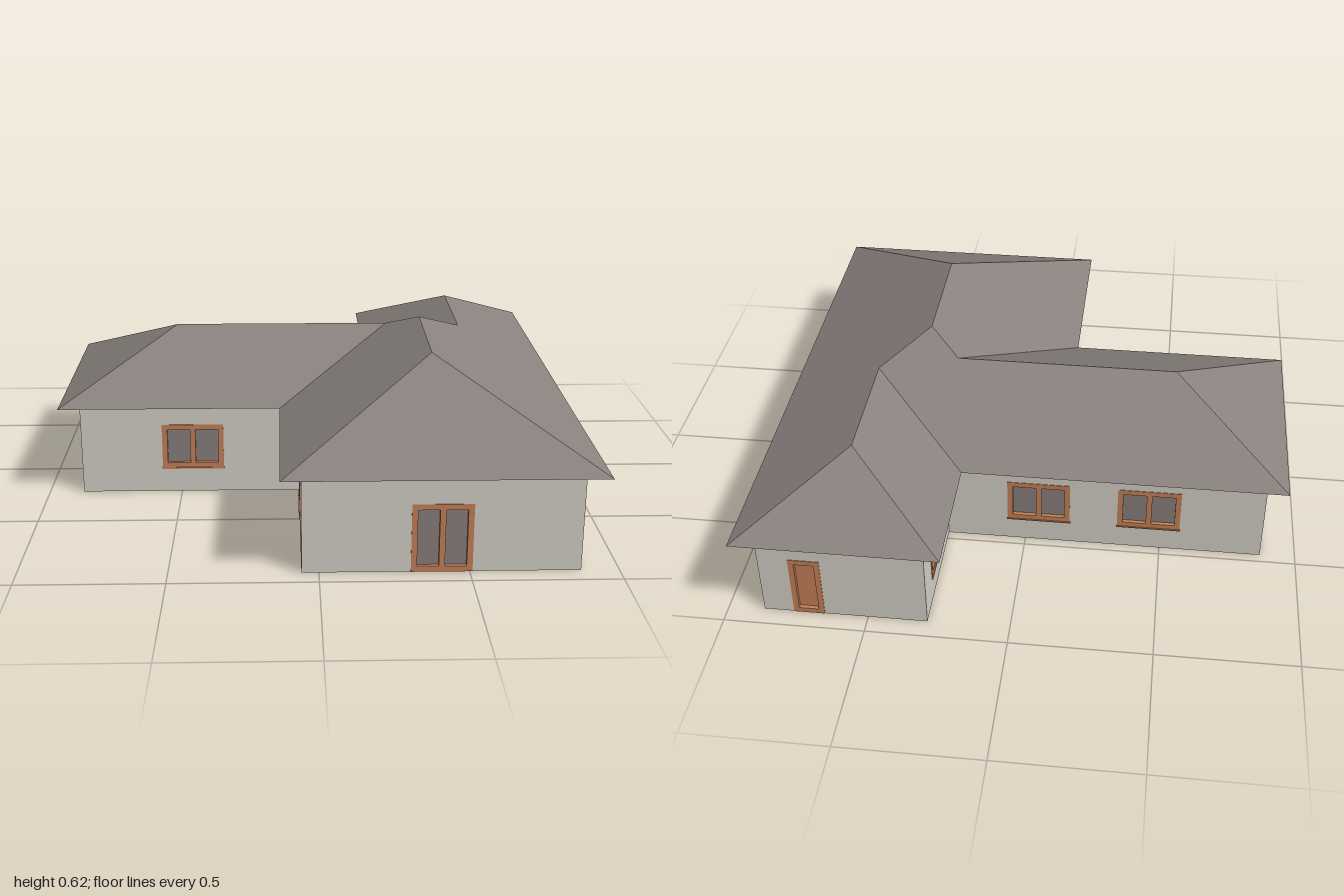
import * as THREE from 'three';

const EAVE = 0.354, SLOPE = 0.49, OVERHANG = 0.07, WALL = 0.02;

const material = (name, color) => Object.assign(new THREE.MeshStandardMaterial({ color }), { name });

// Plan points [x, z]: eave corners in lower case, ridge points in upper case
const P = {
  a: [-0.942, 0.30], b: [-0.942, -0.535], c: [0.22, -0.535], d: [0.22, -1],
  e: [0.942, -1], f: [0.942, 1], g: [-0.128, 1], h: [-0.128, 0.30],
  R: [-0.5245, -0.1175], V: [0.2895, -0.1175], M: [0.407, 0], Q: [0.407, 0.465],
  S: [0.581, -0.174], T: [0.581, -0.639],
};

// Each roof slope starts with the two ends of its eave
const SLOPES = {
  westHip: 'abR', northSlope: 'bcSMVR', backWingWestSlope: 'cdTS', backHip: 'deT',
  eastSlope: 'efQMST', frontHip: 'fgQ', frontWingWestSlope: 'ghVMQ', southSlope: 'haRV',
};

// Walls in eave order, each with [opening kind, offset from the wall's middle]
const WALLS = [
  ['westWall', [['window', 0]]],
  ['northWall', [['window', -0.241], ['window', 0.164]]],
  ['backWingWestWall', [['window', 0]]],
  ['backWall', [['backDoor', -0.129]]],
  ['eastWall', [['window', -0.29], ['window', 0.315]]],
  ['frontWall', [['frontDoor', 0]]],
  ['frontWingWestWall', [['window', 0]]],
  ['southWall', [['window', 0.01]]],
];

const OPENINGS = {
  window: { width: 0.23, bottom: 0.095, top: 0.267, panel: 'glass', mullion: true, sill: true },
  frontDoor: { width: 0.205, bottom: 0, top: 0.242, panel: 'glass', mullion: true },
  backDoor: { width: 0.11, bottom: 0, top: 0.245, panel: 'wood' },
};

const planShape = (points, sign) =>
  new THREE.Shape(points.map(([x, z]) => new THREE.Vector2(x, sign * z)));

const rect = (Type, x0, y0, x1, y1) => new Type([
  new THREE.Vector2(x0, y0), new THREE.Vector2(x1, y0),
  new THREE.Vector2(x1, y1), new THREE.Vector2(x0, y1),
]);

// A flat plan polygon facing down at a height
const underside = (points, y) =>
  new THREE.ShapeGeometry(planShape(points, 1)).rotateX(Math.PI / 2).translate(0, y, 0);

// A flat plan polygon lifted by its distance from the eave line
function slopeGeometry(keys) {
  const pts = [...keys].map((k) => P[k]);
  const geo = new THREE.ShapeGeometry(planShape(pts, -1)).rotateX(-Math.PI / 2);
  const [[x0, z0], [x1, z1]] = pts;
  const len = Math.hypot(x1 - x0, z1 - z0);
  const pos = geo.attributes.position;
  for (let i = 0; i < pos.count; i++) {
    const cross = (x1 - x0) * (pos.getZ(i) - z0) - (z1 - z0) * (pos.getX(i) - x0);
    pos.setY(i, EAVE + SLOPE * Math.abs(cross) / len);
  }
  geo.computeVertexNormals();
  return geo;
}

export function createModel() {
  const mats = {
    wall: material('wall plaster', 0xd6d3ca),
    roof: material('roof tile', 0x8a827f),
    soffit: material('soffit board', 0xb4a472),
    wood: material('frame wood', 0xc8835a),
    glass: material('window glass', 0x8a817e),
  };
  const house = new THREE.Group();
  house.name = 'house';

  const add = (parent, name, geo, mat) => {
    const mesh = new THREE.Mesh(geo, mat);
    mesh.name = name;
    parent.add(mesh);
    return mesh;
  };

  // Framed window or door set into a wall, its panel recessed
  function opening(wall, kind, u) {
    const { width, bottom, top, panel, mullion, sill } = OPENINGS[kind];
    const group = new THREE.Group();
    group.name = kind;
    group.position.x = u;
    wall.add(group);
    const bar = 0.02, proud = 0.002, h = top - bottom, mid = (top + bottom) / 2;
    const box = (part, w, ht, z0, z1, x, y, mat) =>
      add(group, part, new THREE.BoxGeometry(w, ht, z1 - z0), mat).position.set(x, y, (z0 + z1) / 2);
    box('panel', width - bar, h - bar, -WALL, -0.012, 0, mid, mats[panel]);
    for (const s of [-1, 1]) {
      box('frameSide', bar, h, -WALL, proud, s * (width - bar) / 2, mid, mats.wood);
      box('frameRail', width - 2 * bar, bar, -WALL, proud, 0, mid + s * (h - bar) / 2, mats.wood);
    }
    if (mullion) box('mullion', bar, h - 2 * bar, -WALL, proud, 0, mid, mats.wood);
    if (sill) box('sill', width + 0.006, 0.005, -WALL, 0.005, 0, bottom - 0.001, mats.wood);
  }

  // Walls follow the eaves, set in by the overhang
  const o = OVERHANG;
  const signs = [[1, -1], [1, 1], [1, 1], [1, 1], [-1, 1], [-1, -1], [1, -1], [1, -1]];
  const eaves = [...'abcdefgh'].map((k) => P[k]);
  const corners = eaves.map(([x, z], i) => [x + signs[i][0] * o, z + signs[i][1] * o]);
  WALLS.forEach(([name, openings], i) => {
    const [x0, z0] = corners[i], [x1, z1] = corners[(i + 1) % corners.length];
    const length = Math.hypot(x1 - x0, z1 - z0);
    const wall = new THREE.Group();
    wall.name = name;
    wall.position.set((x0 + x1) / 2, 0, (z0 + z1) / 2);
    wall.rotation.y = Math.atan2(z1 - z0, x0 - x1);
    house.add(wall);
    const shape = rect(THREE.Shape, -length / 2, 0, length / 2, EAVE - 0.001);
    for (const [kind, u] of openings) {
      const { width, bottom, top } = OPENINGS[kind];
      const half = width / 2 - 0.001;
      shape.holes.push(rect(THREE.Path, u - half, Math.max(bottom, 0.002), u + half, top - 0.001));
      opening(wall, kind, u);
    }
    const geo = new THREE.ExtrudeGeometry(shape, { depth: WALL, bevelEnabled: false });
    add(wall, 'plaster', geo.translate(0, 0, -WALL), mats.wall);
  });
  add(house, 'floor', underside(corners, 0), mats.wall);

  // Roof slopes and flat soffit
  const roof = new THREE.Group();
  roof.name = 'roof';
  house.add(roof);
  for (const [name, keys] of Object.entries(SLOPES)) add(roof, name, slopeGeometry(keys), mats.roof);
  add(roof, 'soffit', underside(eaves, EAVE), mats.soffit);

  return house;
}
